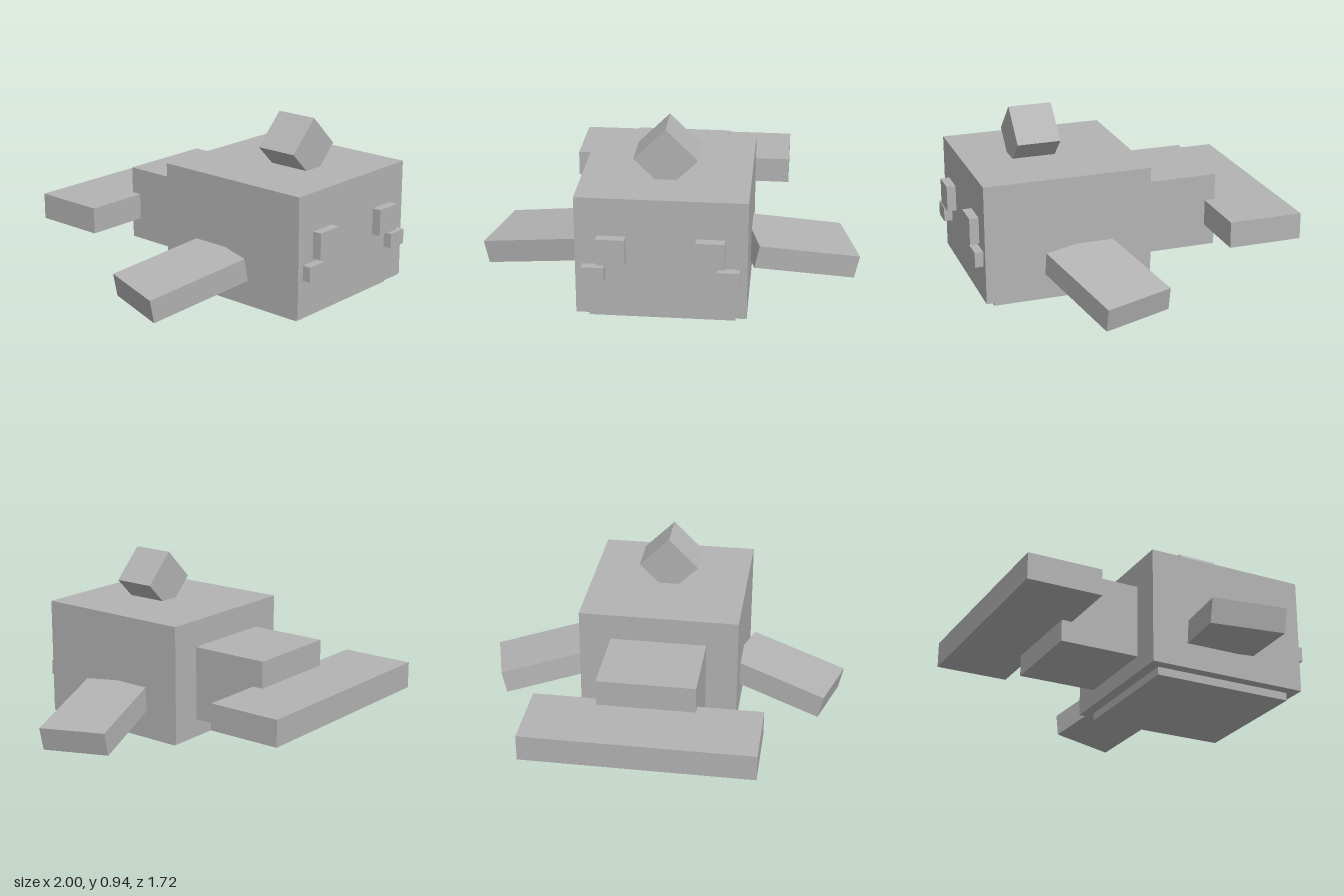
import * as THREE from 'three';

export function createModel() {
  const model = new THREE.Group();
  model.name = 'blockyWhale';
  const skin = new THREE.MeshStandardMaterial({ color: 0xb3b3b3 });
  skin.name = 'grey skin';

  // Box given by its minimum and maximum corners
  function block(name, [x0, y0, z0], [x1, y1, z1]) {
    const mesh = new THREE.Mesh(new THREE.BoxGeometry(x1 - x0, y1 - y0, z1 - z0), skin);
    mesh.position.set((x0 + x1) / 2, (y0 + y1) / 2, (z0 + z1) / 2);
    mesh.name = name;
    model.add(mesh);
    return mesh;
  }

  // Body, belly and tail
  block('body', [-0.43, 0.043, -0.08], [0.43, 0.675, 0.81]);
  block('belly', [-0.372, 0, -0.022], [0.372, 0.06, 0.755]);
  block('tailStem', [-0.26, 0.131, -0.514], [0.26, 0.531, -0.06]);
  block('tailFluke', [-0.607, 0.247, -0.858], [0.607, 0.388, -0.457]);

  // Crest: a cube turned onto its edge, half sunk into the back
  const crest = block('crest', [-0.115, 0.666, 0.323], [0.115, 0.896, 0.553]);
  crest.rotation.z = Math.PI / 4;

  for (const s of [1, -1]) {
    const side = s > 0 ? 'left' : 'right';
    // Eye and the small cheek block below it
    const eye = block(side + 'Eye', [-0.072, 0.334, 0.8], [0.072, 0.474, 0.859]);
    eye.position.x = s * 0.246;
    const cheek = block(side + 'Cheek', [-0.057, 0.237, 0.8], [0.057, 0.317, 0.855]);
    cheek.position.x = s * 0.337;
    // Flipper, swept back and drooping
    const fin = new THREE.Mesh(new THREE.BoxGeometry(0.553, 0.127, 0.374), skin);
    fin.name = side + 'Flipper';
    fin.position.set(s * 0.676, 0.193, 0.248);
    fin.rotation.set(0, s * 0.275, -s * 0.208, 'ZYX');
    model.add(fin);
  }
  return model;
}
